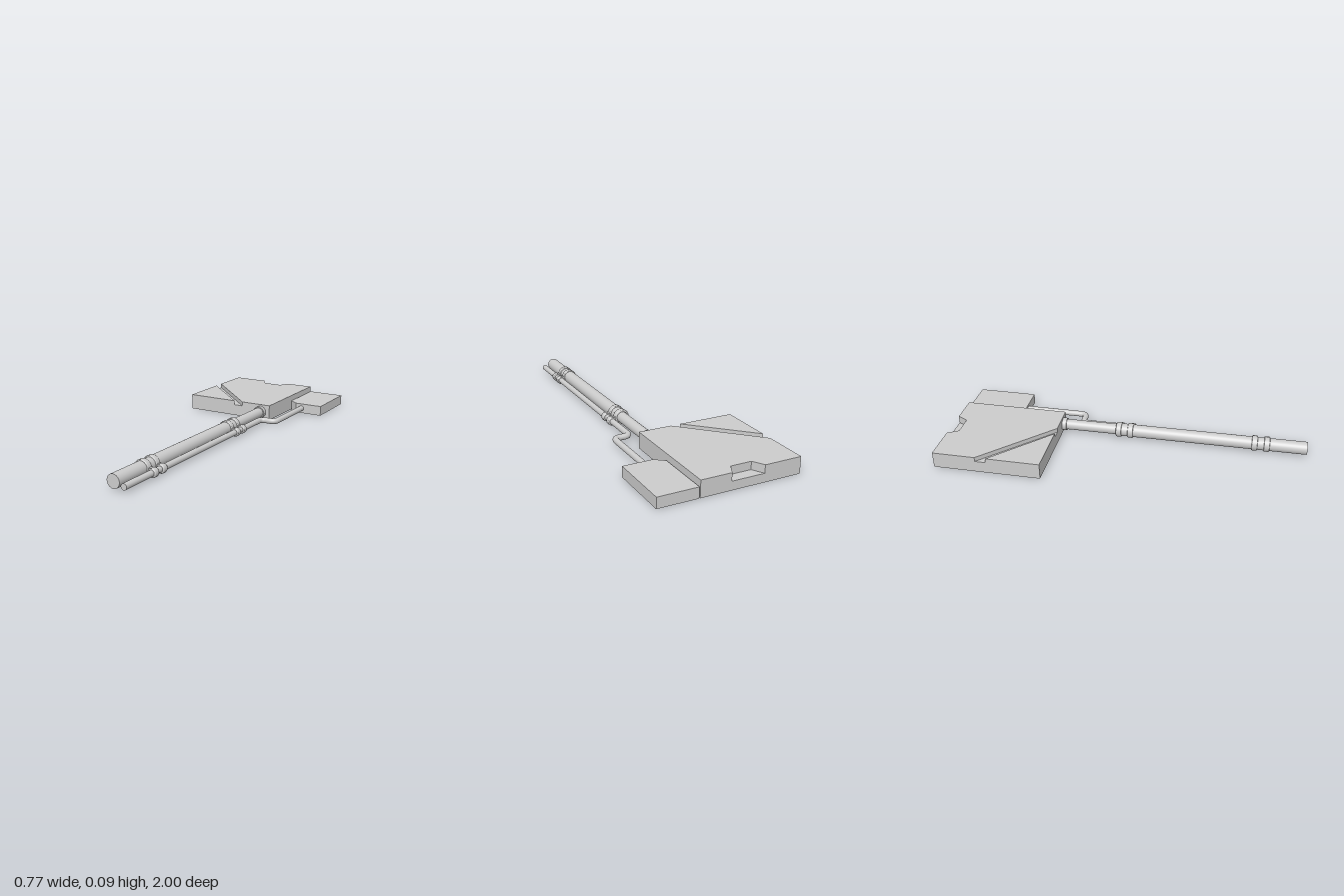
import * as THREE from 'three';

export function createModel() {
  const model = new THREE.Group();
  const material = new THREE.MeshStandardMaterial({ color: 0xcccccc });

  const add = (name, geometry, parent = model) => {
    const mesh = new THREE.Mesh(geometry, material);
    mesh.name = name;
    parent.add(mesh);
    return mesh;
  };

  // Prism from a plan outline of [x, z] points, between two heights
  const prism = (points, y0, y1) => {
    const shape = new THREE.Shape(points.map(([x, z]) => new THREE.Vector2(x, -z)));
    return new THREE.ExtrudeGeometry(shape, { depth: y1 - y0, bevelEnabled: false })
      .rotateX(-Math.PI / 2).translate(0, y0, 0);
  };

  // Cylinder lying along z
  const rod = (x, y, z0, z1, r) => new THREE.CylinderGeometry(r, r, z1 - z0, 32)
    .rotateX(Math.PI / 2).translate(x, y, (z0 + z1) / 2);

  // Main block: full base, a layer with the back notch, a layer split by the groove
  const block = new THREE.Group();
  block.name = 'mainBlock';
  model.add(block);
  const L = -0.385, R = 0.165, B = -1, F = -0.4;
  const notch = [[0, B], [-0.03, -0.94], [-0.145, -0.94], [-0.18, B]];
  add('blockBase', prism([[L, F], [R, F], [R, B], [L, B]], 0, 0.047), block);
  add('blockMiddle', prism([[L, F], [R, F], [R, B], ...notch, [L, B]], 0.047, 0.065), block);
  add('blockTop', prism([[-0.02, F], [R, F], [R, B], ...notch, [L, B], [L, -0.76]], 0.065, 0.09), block);
  add('blockCorner', prism([[L, F], [-0.075, F], [L, -0.7]], 0.065, 0.09), block);

  // Small side box with a clipped corner
  add('sideBox', prism([[0.22, -0.66], [0.385, -0.66], [0.385, -1], [0.17, -1], [0.17, -0.7]], 0, 0.058));

  // Main pipe, narrower between the first clamp and the block
  const px = 0.106, py = 0.045;
  add('mainPipe', rod(px, py, -0.07, 1, 0.036));
  add('mainPipeNeck', rod(px, py, -0.41, -0.06, 0.03));
  add('pipeCollar', rod(px, py, -0.41, -0.375, 0.036));

  // Thin pipe that steps sideways to reach the side box
  const tx = 0.165, ty = 0.03, ex = 0.257, bendZ = -0.295, bend = 0.035;
  const v = (x, z) => new THREE.Vector3(x, ty, z);
  const path = new THREE.CurvePath();
  path.add(new THREE.LineCurve3(v(tx, 1), v(tx, bendZ + bend)));
  path.add(new THREE.QuadraticBezierCurve3(v(tx, bendZ + bend), v(tx, bendZ), v(tx + bend, bendZ)));
  path.add(new THREE.LineCurve3(v(tx + bend, bendZ), v(ex - bend, bendZ)));
  path.add(new THREE.QuadraticBezierCurve3(v(ex - bend, bendZ), v(ex, bendZ), v(ex, bendZ - bend)));
  path.add(new THREE.LineCurve3(v(ex, bendZ - bend), v(ex, -0.67)));
  add('thinPipe', new THREE.TubeGeometry(path, 300, 0.0165, 20, false));
  add('thinPipeEnd', new THREE.CircleGeometry(0.0165, 20).translate(tx, ty, 1));

  // Rounded clamp ring around a pipe
  const ring = (x, y, z, r) => {
    const w = 0.016, b = 0.005;
    const profile = [[r - b * 2, -w], [r - b, -w], [r - b * 0.3, -w + b * 0.3], [r, -w + b],
      [r, w - b], [r - b * 0.3, w - b * 0.3], [r - b, w], [r - b * 2, w]];
    return new THREE.LatheGeometry(profile.map(p => new THREE.Vector2(...p)), 32)
      .rotateX(Math.PI / 2).translate(x, y, z);
  };

  // Paired clamps holding the two pipes together
  for (const z of [-0.065, 0.003, 0.71, 0.778]) {
    const clamp = new THREE.Group();
    clamp.name = 'pipeClamp';
    model.add(clamp);
    add('largeRing', ring(px, py, z, 0.042), clamp);
    add('smallRing', ring(tx + 0.001, ty, z, 0.024), clamp);
    const web = add('ringWeb', new THREE.BoxGeometry(0.026, 0.03, 0.026), clamp);
    web.position.set(0.145, 0.037, z);
    web.rotation.z = -0.25;
  }

  return model;
}
